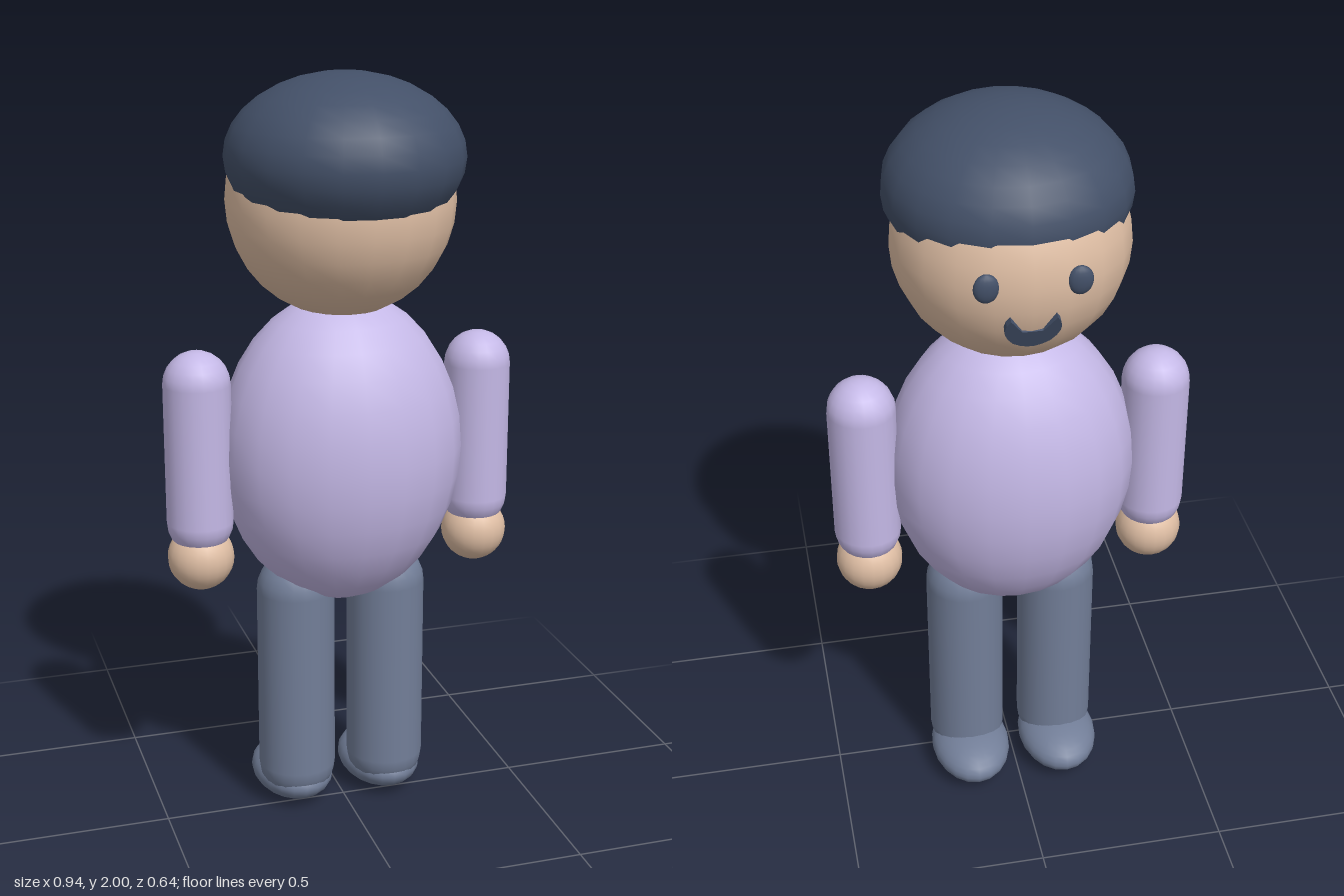
import * as THREE from 'three';

const mat = (color) => new THREE.MeshStandardMaterial({ color });

export function createModel() {
  const model = new THREE.Group();
  const skin = mat(0xe0bfa5), shirt = mat(0xc4b8e6);
  const trousers = mat(0x727e98), dark = mat(0x435068);

  const add = (name, geometry, material, x, y, z) => {
    const mesh = new THREE.Mesh(geometry, material);
    mesh.name = name;
    mesh.position.set(x, y, z);
    model.add(mesh);
    return mesh;
  };
  // Ellipsoid given by its three radii
  const ball = (rx, ry, rz, w = 20, h = 16) =>
    new THREE.SphereGeometry(1, w, h).scale(rx, ry, rz);

  // Torso, head and cap of hair; the hairline is where hair meets head
  add('torso', ball(0.325, 0.42, 0.265), shirt, 0, 1.02, -0.025);
  const headRadius = 0.295;
  const head = add('head', ball(headRadius, headRadius, headRadius), skin, 0, 1.675, -0.025);
  add('hair', ball(0.305, 0.21, 0.31), dark, 0, 1.79, 0.012);

  for (const [side, s] of [['left', 1], ['right', -1]]) {
    // Arm and hand
    add(`${side}Arm`, new THREE.CapsuleGeometry(0.088, 0.37, 6, 20), shirt, s * 0.383, 1.035, -0.03);
    add(`${side}Hand`, ball(0.088, 0.088, 0.088), skin, s * 0.383, 0.75, -0.03);

    // Leg and shoe
    add(`${side}Leg`, new THREE.CapsuleGeometry(0.105, 0.51, 6, 20), trousers, s * 0.127, 0.375, -0.025);
    add(`${side}Shoe`, ball(0.11, 0.065, 0.157), trousers, s * 0.127, 0.07, -0.08);

    // Eye
    add(`${side}Eye`, ball(0.031, 0.037, 0.015, 14, 10), dark, s * 0.11, 1.69, -0.302);
  }

  // Smiling mouth, a thin crescent laid on the face
  const crescent = new THREE.Shape();
  crescent.moveTo(-0.055, 0.05);
  crescent.quadraticCurveTo(-0.085, 0.01, -0.045, -0.035);
  crescent.quadraticCurveTo(0, -0.07, 0.045, -0.035);
  crescent.quadraticCurveTo(0.085, 0.01, 0.055, 0.05);
  crescent.lineTo(0.025, 0.005);
  crescent.lineTo(-0.025, 0.005);
  const mouthGeometry = new THREE.ExtrudeGeometry(crescent, { depth: 0.03, bevelEnabled: false, curveSegments: 5 });
  mouthGeometry.translate(0, 0, -0.03);
  const outward = new THREE.Vector3(0, -0.115, -0.272).normalize();
  const spot = outward.clone().multiplyScalar(headRadius + 0.002).add(head.position);
  const mouth = add('mouth', mouthGeometry, dark, spot.x, spot.y, spot.z);
  mouth.lookAt(spot.clone().add(outward));

  return model;
}
